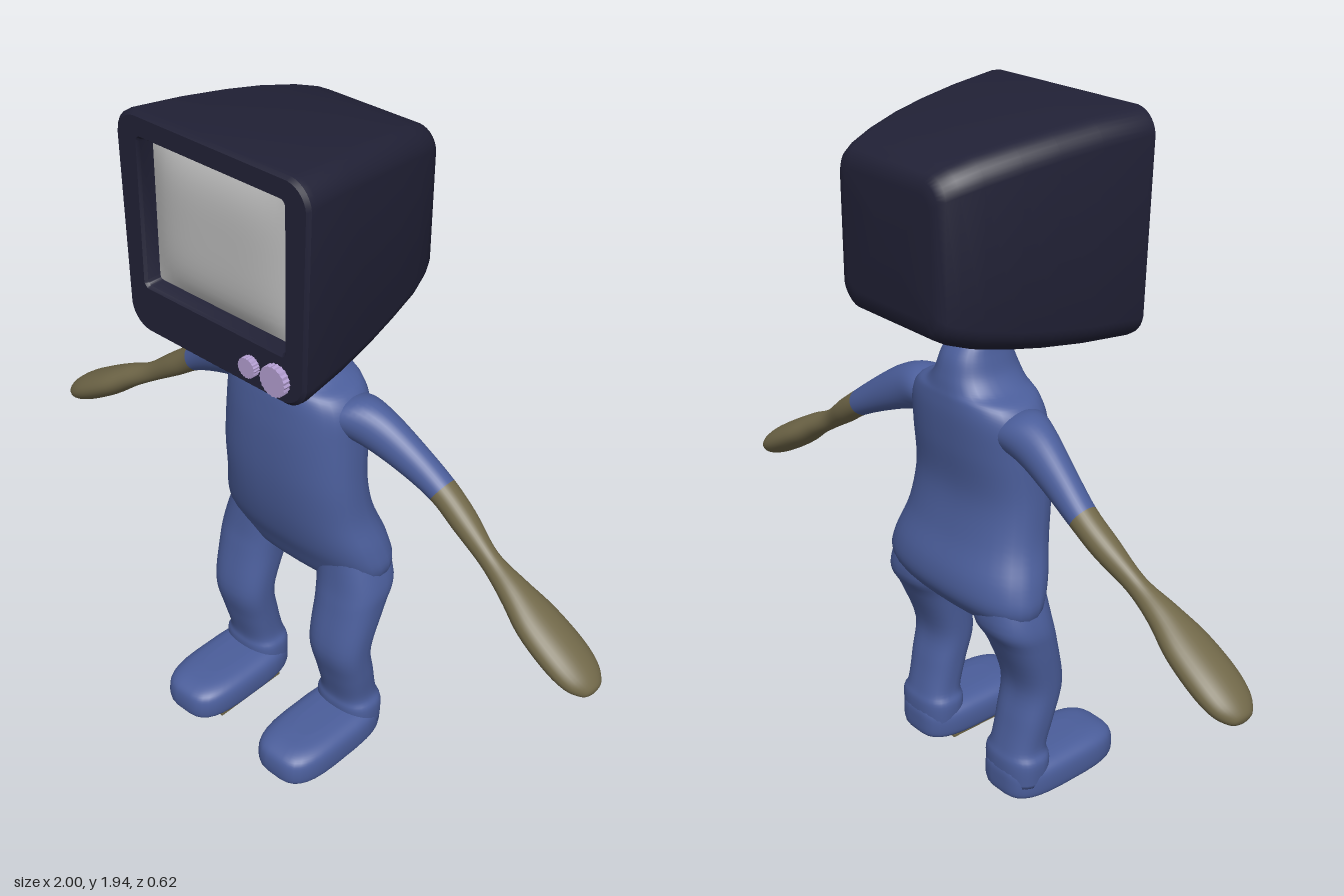
import * as THREE from 'three';
import { toCreasedNormals } from 'three/addons/utils/BufferGeometryUtils.js';

const mat = (name, color, side = THREE.FrontSide) =>
  Object.assign(new THREE.MeshStandardMaterial({ color, side }), { name });

// Smoothly interpolates rows of numbers, adding `steps` rows per gap
function refine(keys, steps) {
  const rows = [], at = i => keys[Math.min(Math.max(i, 0), keys.length - 1)];
  for (let i = 0; i < keys.length - 1; i++)
    for (let s = 0; s < steps; s++) {
      const t = s / steps;
      rows.push(keys[i].map((b, j) => {
        const a = at(i - 1)[j], c = at(i + 1)[j], d = at(i + 2)[j];
        return b + 0.5 * t * (c - a + t * (2 * a - 5 * b + 4 * c - d + t * (3 * (b - c) + d - a)));
      }));
    }
  rows.push(keys[keys.length - 1]);
  return rows;
}

// Closed skin through cross-sections; place(row, cos, sin) gives a point.
// From key `split` on, faces use the second material.
function loft(keys, place, { steps = 5, seg = 32, split = 0 } = {}) {
  const rows = refine(keys, steps), pos = [], idx = [], last = rows.length - 1;
  for (const r of rows)
    for (let j = 0; j < seg; j++) {
      const a = (j + 0.5) / seg * Math.PI * 2;
      pos.push(...place(r, Math.cos(a), Math.sin(a)));
    }
  const centre = i => {
    const c = [0, 0, 0];
    for (let j = 0; j < seg; j++)
      for (let k = 0; k < 3; k++) c[k] += pos[(i * seg + j) * 3 + k] / seg;
    return c;
  };
  pos.push(...centre(0), ...centre(last));
  const c0 = rows.length * seg, c1 = c0 + 1;
  let cut = 0;
  for (let j = 0; j < seg; j++) idx.push(c0, (j + 1) % seg, j);
  for (let i = 0; i < last; i++) {
    if (split && i === split * steps) cut = idx.length;
    for (let j = 0; j < seg; j++) {
      const a = i * seg + j, b = i * seg + (j + 1) % seg;
      idx.push(a, b, b + seg, a, b + seg, a + seg);
    }
  }
  for (let j = 0; j < seg; j++) idx.push(c1, last * seg + j, last * seg + (j + 1) % seg);
  // Turn faces outward if the enclosed volume is negative
  let vol = 0;
  const v = i => new THREE.Vector3().fromArray(pos, i * 3);
  for (let i = 0; i < idx.length; i += 3) vol += v(idx[i]).dot(v(idx[i + 1]).cross(v(idx[i + 2])));
  if (vol < 0) for (let i = 0; i < idx.length; i += 3) [idx[i], idx[i + 1]] = [idx[i + 1], idx[i]];
  const g = new THREE.BufferGeometry();
  g.setAttribute('position', new THREE.Float32BufferAttribute(pos, 3));
  g.setIndex(idx);
  if (split) { g.addGroup(0, cut, 0); g.addGroup(cut, idx.length - cut, 1); }
  g.computeVertexNormals();
  return g;
}

// Horizontal superellipse section: [y, x0, x1, zFront, zBack]
const round = (v, n) => Math.sign(v) * Math.abs(v) ** (2 / n);
const flatSection = (n, side = 1) => ([y, x0, x1, zf, zb], c, s) => [
  side * ((x0 + x1) / 2 + (x1 - x0) / 2 * round(c, n)), y,
  (zf + zb) / 2 + (zf - zb) / 2 * round(s, n)];

export function createModel() {
  const model = new THREE.Group();
  const blue = mat('suit blue', 0x4b5e9b), olive = mat('glove olive', 0x716849);
  const dark = mat('casing dark', 0x212136), lilac = mat('knob lilac', 0xb29dd0);
  const grey = mat('screen grey', 0xbababa, THREE.DoubleSide);
  const add = (name, geo, material) => {
    const m = new THREE.Mesh(geo, material);
    m.name = name;
    model.add(m);
    return m;
  };

  // Torso with neck: [y, half width, zFront, zBack]
  const torso = [
    [0.55, 0.18, 0.0, -0.10], [0.575, 0.255, 0.02, -0.14], [0.63, 0.286, 0.045, -0.178],
    [0.70, 0.275, 0.075, -0.178], [0.80, 0.243, 0.10, -0.145], [0.92, 0.23, 0.115, -0.125],
    [1.05, 0.222, 0.117, -0.14], [1.14, 0.215, 0.11, -0.147], [1.19, 0.185, 0.103, -0.146],
    [1.215, 0.13, 0.098, -0.143], [1.25, 0.095, 0.09, -0.137], [1.30, 0.077, 0.07, -0.122],
    [1.34, 0.065, 0.042, -0.09], [1.36, 0.04, 0.01, -0.05],
  ].map(([y, w, f, b]) => [y, -w, w, f, b]);
  add('torso', loft(torso, flatSection(2.4)), blue);

  // Limbs, mirrored
  const leg = [
    [0.70, 0.08, 0.25, 0.03, -0.14], [0.58, 0.08, 0.291, 0.04, -0.152],
    [0.50, 0.092, 0.294, 0.055, -0.112], [0.36, 0.10, 0.286, 0.08, -0.06],
    [0.25, 0.107, 0.28, 0.055, -0.077], [0.16, 0.108, 0.274, 0.032, -0.098],
    [0.12, 0.093, 0.29, 0.035, -0.109], [0.05, 0.095, 0.288, 0.03, -0.108],
  ];
  const foot = [
    [0.003, 0.10, 0.28, 0.27, -0.095], [0.018, 0.084, 0.297, 0.288, -0.109],
    [0.06, 0.08, 0.30, 0.29, -0.112], [0.09, 0.088, 0.292, 0.278, -0.11],
    [0.107, 0.112, 0.268, 0.24, -0.10], [0.113, 0.15, 0.23, 0.18, -0.08],
  ];
  // Arm: [x, y, z, half thickness, half depth]
  const arm = [
    [0.10, 1.11, -0.02, 0.07, 0.08], [0.18, 1.127, -0.03, 0.073, 0.075],
    [0.26, 1.11, -0.042, 0.066, 0.06], [0.36, 1.06, -0.058, 0.052, 0.048],
    [0.46, 1.0, -0.07, 0.039, 0.041], [0.54, 0.945, -0.066, 0.036, 0.038],
    [0.635, 0.88, -0.054, 0.029, 0.028], [0.72, 0.832, -0.047, 0.035, 0.045],
    [0.80, 0.78, -0.044, 0.042, 0.068], [0.89, 0.725, -0.043, 0.043, 0.074],
    [0.95, 0.688, -0.043, 0.036, 0.064], [0.985, 0.667, -0.043, 0.022, 0.037],
    [0.994, 0.661, -0.043, 0.006, 0.012],
  ];
  for (const [side, word] of [[1, 'left'], [-1, 'right']]) {
    add(word + 'Leg', loft(leg, flatSection(2.5, side)), blue);
    add(word + 'Foot', loft(foot, flatSection(3.3, side)), blue);
    // Thin strip along the inner edge of the sole
    add(word + 'SoleStrip', new THREE.BoxGeometry(0.024, 0.009, 0.25), olive)
      .position.set(side * 0.108, 0.0045, 0.09);
    // Sections stand across the arm's downward slope
    const place = ([x, y, z, t, d], c, s) => [side * (x + 0.52 * t * c), y + 0.854 * t * c, z + d * s];
    add(word + 'Arm', loft(arm, place, { split: 4 }), [blue, olive]);
  }

  // Television head: [z, half width, yLow, yHigh, corner radius], back to front, then into the recess
  const casing = [
    [-0.309, 0.165, 1.485, 1.80, 0.04], [-0.305, 0.188, 1.455, 1.828, 0.05],
    [-0.29, 0.205, 1.435, 1.845, 0.06], [-0.26, 0.219, 1.418, 1.86, 0.065],
    [-0.20, 0.237, 1.397, 1.879, 0.07], [-0.10, 0.262, 1.374, 1.899, 0.07],
    [0.0, 0.281, 1.358, 1.914, 0.07], [0.12, 0.30, 1.344, 1.928, 0.07],
    [0.26, 0.319, 1.335, 1.939, 0.07], [0.277, 0.318, 1.336, 1.938, 0.07],
    [0.286, 0.309, 1.345, 1.929, 0.065], [0.286, 0.246, 1.468, 1.88, 0.018],
    [0.278, 0.24, 1.474, 1.874, 0.015], [0.225, 0.238, 1.476, 1.872, 0.015],
  ];
  const boxSection = ([z, w, lo, hi, r], c, s) => {
    const y = (lo + hi) / 2 + Math.sign(s) * ((hi - lo) / 2 - r) + r * s;
    const taper = w > 0.25 ? 1 - 0.18 * Math.max(0, 1.6 - y) : 1;
    return [taper * (Math.sign(c) * (w - r) + r * c), y, z];
  };
  add('headCasing', toCreasedNormals(loft(casing, boxSection, { steps: 1 }), 0.7), dark);

  // Gently bulging screen
  const screen = new THREE.PlaneGeometry(0.478, 0.398, 16, 16), p = screen.attributes.position;
  for (let i = 0; i < p.count; i++) {
    const u = p.getX(i) / 0.239, v = p.getY(i) / 0.199;
    p.setZ(i, 0.03 * (1 - u ** 4) * (1 - v ** 4));
  }
  screen.computeVertexNormals();
  add('screen', screen, grey).position.set(0, 1.674, 0.238);

  // Dials with finely ridged rims
  for (const [name, x, r] of [['smallKnob', 0.132, 0.028], ['largeKnob', 0.219, 0.042]]) {
    const rim = new THREE.Shape();
    for (let i = 0; i < 40; i++) {
      const a = i / 40 * Math.PI * 2, q = r * (i % 2 ? 0.93 : 1);
      rim[i ? 'lineTo' : 'moveTo'](q * Math.cos(a), q * Math.sin(a));
    }
    rim.closePath();
    add(name, new THREE.ExtrudeGeometry(rim, { depth: 0.025, bevelEnabled: false }), lilac)
      .position.set(x, 1.402, 0.281);
  }
  return model;
}
